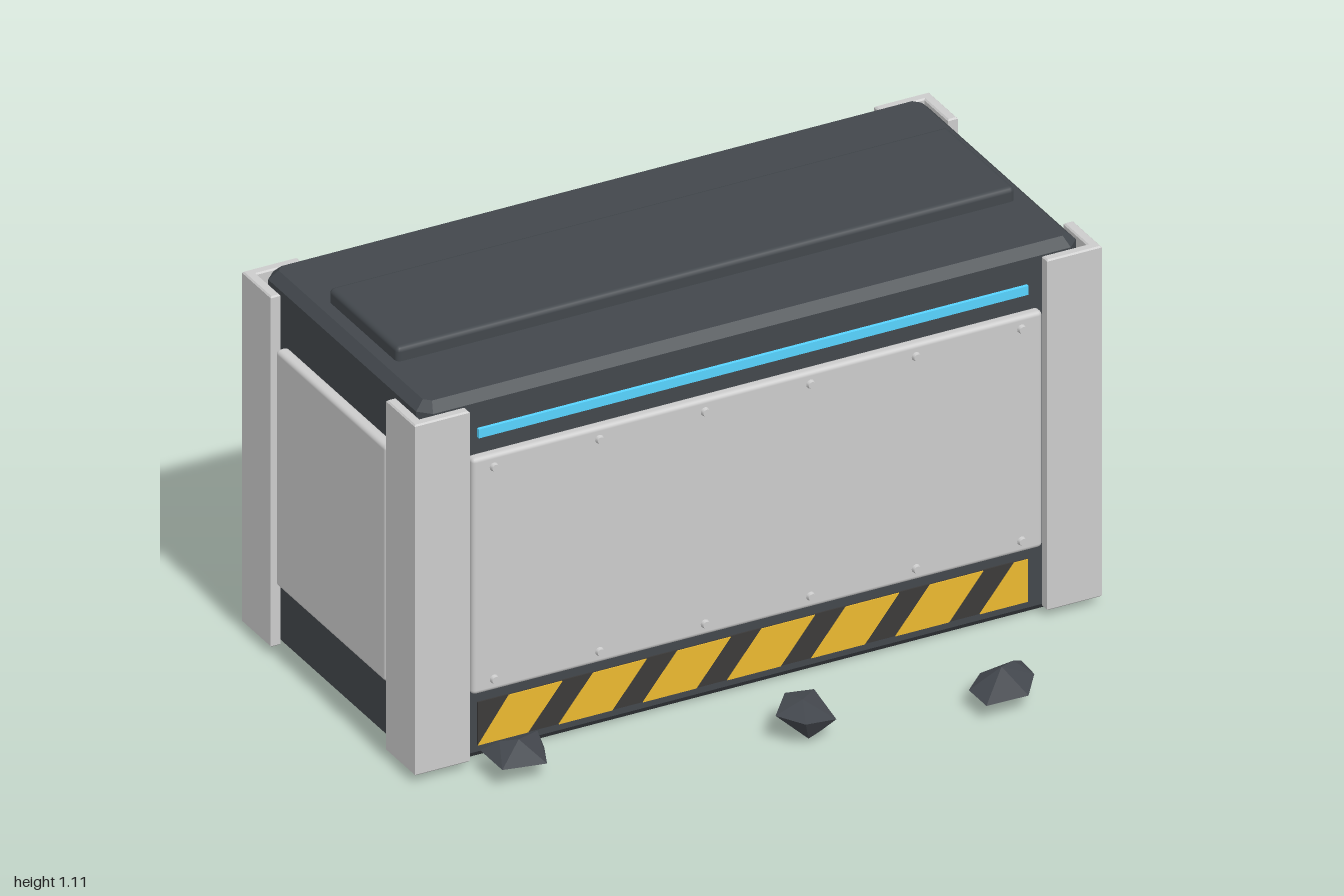
import * as THREE from 'three';
import { RoundedBoxGeometry } from 'three/addons/geometries/RoundedBoxGeometry.js';
import { ConvexGeometry } from 'three/addons/geometries/ConvexGeometry.js';

const paint = (color, flat = false) => new THREE.MeshStandardMaterial({ color, flatShading: flat });
const grey = paint(0xcccccc), dark = paint(0x42474c), black = paint(0x3b3a39);
const yellow = paint(0xebb830), blue = paint(0x58d4ff), stone = paint(0x42464c, true);

function add(parent, name, geometry, material, x = 0, y = 0, z = 0) {
  const mesh = new THREE.Mesh(geometry, material);
  mesh.name = name;
  mesh.position.set(x, y, z);
  parent.add(mesh);
  return mesh;
}

// Upright prism from a plan outline of [x, z] points, with chamfered ends
function prism(points, height, bevel) {
  const shape = new THREE.Shape(points.map(([x, z]) => new THREE.Vector2(x, -z)));
  return new THREE.ExtrudeGeometry(shape, {
    depth: height - 2 * bevel, bevelEnabled: true, bevelThickness: bevel,
    bevelSize: bevel, bevelOffset: -bevel, bevelSegments: 1,
  }).rotateX(-Math.PI / 2).translate(0, bevel, 0);
}

// Slanted hazard stripes, cut off at the ends of the band
function stripeShapes(half, y0, y1) {
  const shapes = [], slant = 0.1, width = 0.155;
  const clamp = (x) => Math.min(half, Math.max(-half, x));
  for (let i = 0; i < 7; i++) {
    const x = -0.81 + i * 0.245;
    const end = Math.min(x + width, half);
    const points = [[clamp(x), y0], [end, y0], [clamp(x + width + slant), y1], [x + slant, y1]];
    shapes.push(new THREE.Shape(points.map((p) => new THREE.Vector2(...p))));
  }
  return shapes;
}

// Long face: panel, rivets, light strip and hazard band
function longSide(name) {
  const side = new THREE.Group();
  side.name = name;
  add(side, 'sidePanel', new RoundedBoxGeometry(1.66, 0.69, 0.034, 2, 0.012), grey, 0, 0.555, 0.445);
  const rivet = new THREE.CylinderGeometry(0.01, 0.013, 0.012, 12).rotateX(Math.PI / 2);
  for (let i = 0; i < 6; i++) {
    for (const y of [0.245, 0.865]) add(side, 'rivet', rivet, grey, -0.768 + i * 0.307, y, 0.466);
  }
  add(side, 'lightStrip', new THREE.BoxGeometry(1.6, 0.026, 0.02), blue, 0, 0.958, 0.43);
  add(side, 'hazardBand', new THREE.BoxGeometry(1.6, 0.125, 0.012), black, 0, 0.108, 0.428);
  add(side, 'hazardStripes', new THREE.ExtrudeGeometry(stripeShapes(0.8, 0.046, 0.17),
    { depth: 0.004, bevelEnabled: false }), yellow, 0, 0, 0.433);
  return side;
}

export function createModel() {
  const model = new THREE.Group();
  model.name = 'supplyCrate';
  const crate = new THREE.Group();
  crate.name = 'crate';
  crate.position.z = -0.203;
  model.add(crate);

  // Chamfered body and raised lid
  const X = 0.96, Z = 0.43, c = 0.032;
  add(crate, 'body', prism([[X, Z - c], [X - c, Z], [c - X, Z], [-X, Z - c],
    [-X, c - Z], [c - X, -Z], [X - c, -Z], [X, c - Z]], 1.07, 0.025), dark);
  add(crate, 'lid', new RoundedBoxGeometry(1.8, 0.06, 0.37, 2, 0.014), dark, 0, 1.08, 0);

  // Long faces, the rear one turned about
  crate.add(longSide('frontSide'));
  const back = longSide('backSide');
  back.rotation.y = Math.PI;
  crate.add(back);

  // End panels and angle-iron corner posts
  for (const sx of [-1, 1]) {
    add(crate, 'endPanel', new RoundedBoxGeometry(0.036, 0.69, 0.594, 2, 0.012), grey, sx * 0.976, 0.555, 0);
    for (const sz of [-1, 1]) {
      const plan = [[1, 0.465], [0.84, 0.465], [0.84, 0.437], [0.971, 0.437], [0.971, 0.31], [1, 0.31]];
      add(crate, 'cornerPost', prism(plan.map(([x, z]) => [sx * x, sz * z]), 1.025, 0.004), grey, 0, 0.022, 0);
    }
  }

  // Loose faceted rocks in front
  const rocks = [
    [[-0.82, 0.06, 0.28], [-0.65, 0.07, 0.275], [-0.69, 0.045, 0.4], [-0.82, 0.06, 0.4], [-0.74, 0.1, 0.34],
      [-0.78, 0.09, 0.31], [-0.66, 0.05, 0.33], [-0.78, 0.02, 0.33], [-0.69, 0.02, 0.3]],
    [[-0.09, 0.085, 0.52], [-0.02, 0.095, 0.44], [0.06, 0.09, 0.45], [0.06, 0.06, 0.57], [-0.04, 0.08, 0.59],
      [0, 0.1, 0.5], [0.04, 0.015, 0.53], [-0.01, 0.012, 0.55], [0.07, 0.05, 0.5]],
    [[0.44, 0.05, 0.58], [0.5, 0.06, 0.53], [0.62, 0.065, 0.53], [0.62, 0.06, 0.6], [0.565, 0.045, 0.67],
      [0.44, 0.05, 0.675], [0.53, 0.1, 0.59], [0.58, 0.09, 0.56], [0.5, 0.02, 0.6], [0.58, 0.015, 0.58]],
  ];
  for (const points of rocks) {
    add(model, 'rock', new ConvexGeometry(points.map((p) => new THREE.Vector3(...p))), stone);
  }
  return model;
}
